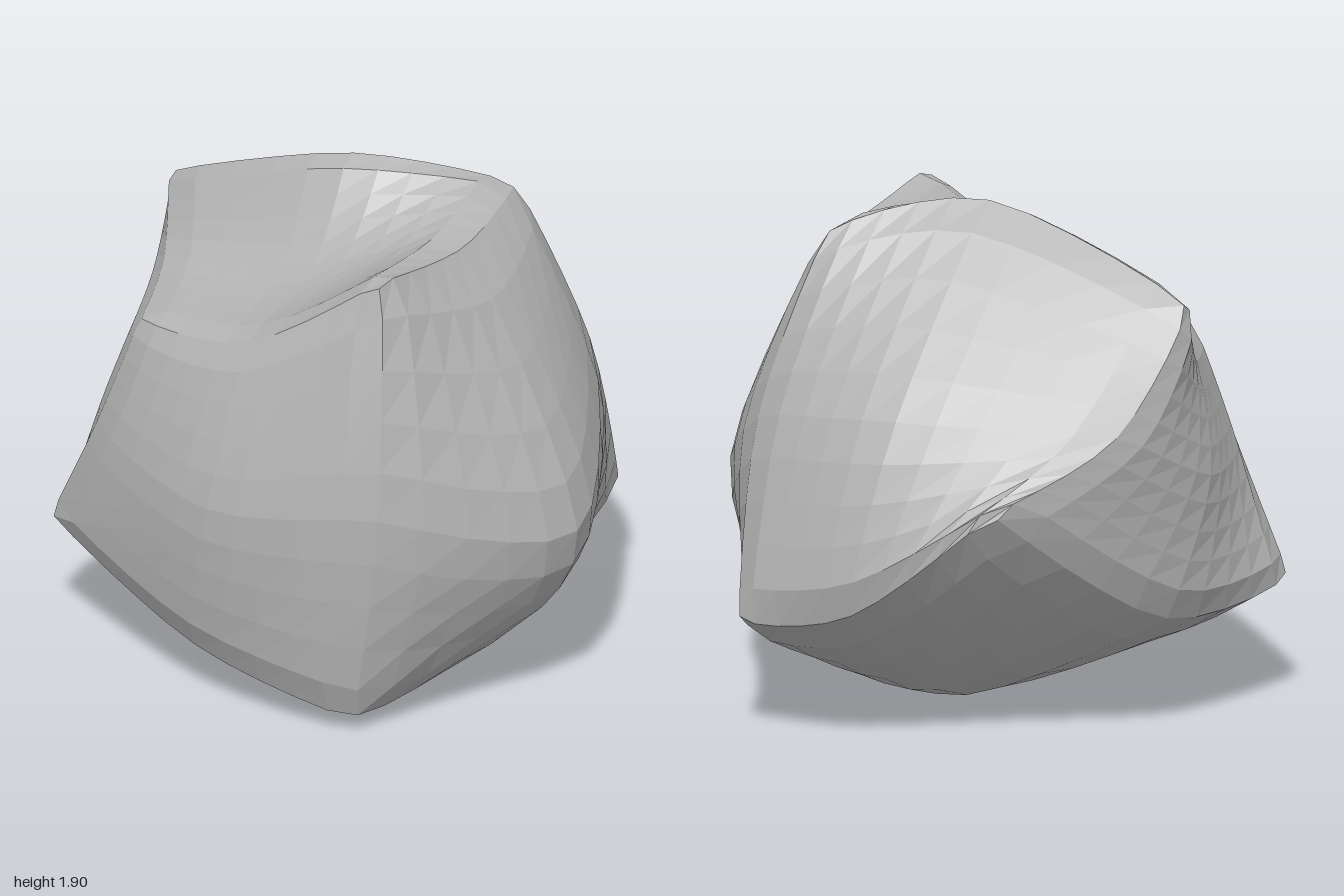
import * as THREE from 'three';
import { mergeVertices } from 'three/addons/utils/BufferGeometryUtils.js';

// Control cage of a box pulled into a boulder: corners, edge middles, face centres.
// Rows run bottom, middle, top; inside a row back to front; inside that -x to +x.
const cage = [
  [ // bottom
    [[-0.57, 1.03, -0.9], [-0.02, 0.52, -0.95], [0.49, 0.42, -0.91]],
    [[-0.92, 0.45, -0.13], [0.03, 0, 0.02], [0.52, 0.15, -0.05]],
    [[-1.04, 0.46, 0.67], [-0.2, 0.22, 0.86], [0.48, 0.03, 0.75]],
  ],
  [ // middle
    [[-0.89, 1.2, -0.4], [-0.12, 1.24, -0.77], [0.54, 1.17, -0.62]],
    [[-0.97, 0.95, 0.12], [0, 1, 0], [1.05, 0.72, 0.07]],
    [[-0.74, 0.95, 0.72], [-0.05, 0.85, 0.94], [0.6, 0.95, 0.77]],
  ],
  [ // top, with the ridge at the back and a valley in front of it
    [[-1, 1.63, 0], [-0.1, 1.99, 0.01], [0.38, 1.84, -0.4]],
    [[-0.77, 1.43, 0.28], [-0.05, 1.59, 0.28], [0.48, 1.83, 0.1]],
    [[-0.58, 1.39, 0.66], [-0.02, 1.48, 0.73], [0.54, 1.9, 0.61]],
  ],
];

// Weights of three control values at t in -1..1: part curved, part straight
function weights(t, curve = 0.5) {
  const quad = [t * (t - 1) / 2, 1 - t * t, t * (t + 1) / 2];
  const line = [Math.max(-t, 0), 1 - Math.abs(t), Math.max(t, 0)];
  return quad.map((q, i) => q * curve + line[i] * (1 - curve));
}

function cagePoint(p) {
  const [wx, wy, wz] = [weights(p.x), weights(p.y), weights(p.z)];
  const out = new THREE.Vector3();
  cage.forEach((layer, j) => layer.forEach((row, k) => row.forEach((c, i) => {
    out.addScaledVector(new THREE.Vector3(...c), wx[i] * wy[j] * wz[k]);
  })));
  return out;
}

// Move every vertex towards (or, below zero, away from) the average of its neighbours
function wear(geometry, amount) {
  const pos = geometry.attributes.position, index = geometry.index;
  const near = Array.from({ length: pos.count }, () => new Set());
  for (let f = 0; f < index.count; f += 3) {
    for (let e = 0; e < 3; e++) {
      const a = index.getX(f + e), b = index.getX(f + (e + 1) % 3);
      near[a].add(b);
      near[b].add(a);
    }
  }
  const old = near.map((_, i) => new THREE.Vector3().fromBufferAttribute(pos, i));
  near.forEach((set, i) => {
    const mean = new THREE.Vector3();
    set.forEach((n) => mean.addScaledVector(old[n], 1 / set.size));
    const p = old[i].clone().lerp(mean, amount);
    pos.setXYZ(i, p.x, p.y, p.z);
  });
}

export function createModel() {
  const stone = new THREE.MeshStandardMaterial({ color: 0xb4b4b4 });
  stone.name = 'stone grey';

  let geometry = new THREE.BoxGeometry(2, 2, 2, 10, 10, 10);
  geometry.deleteAttribute('normal');
  geometry.deleteAttribute('uv');
  geometry.clearGroups();
  geometry = mergeVertices(geometry);
  const pos = geometry.attributes.position;
  const p = new THREE.Vector3();
  for (let i = 0; i < pos.count; i++) {
    const q = cagePoint(p.fromBufferAttribute(pos, i));
    pos.setXYZ(i, q.x, q.y, q.z);
  }
  // Round the edges while keeping the bulk
  [0.55, -0.35, 0.55].forEach((amount) => wear(geometry, amount));

  // Stand it on the ground, centred
  geometry.computeBoundingBox();
  const mid = geometry.boundingBox.getCenter(new THREE.Vector3());
  geometry.translate(-mid.x, -geometry.boundingBox.min.y, -mid.z);

  // Separate faces give flat facets
  geometry = geometry.toNonIndexed();
  geometry.computeVertexNormals();

  const boulder = new THREE.Mesh(geometry, stone);
  boulder.name = 'boulder';
  const group = new THREE.Group();
  group.name = 'rock';
  group.add(boulder);
  return group;
}
